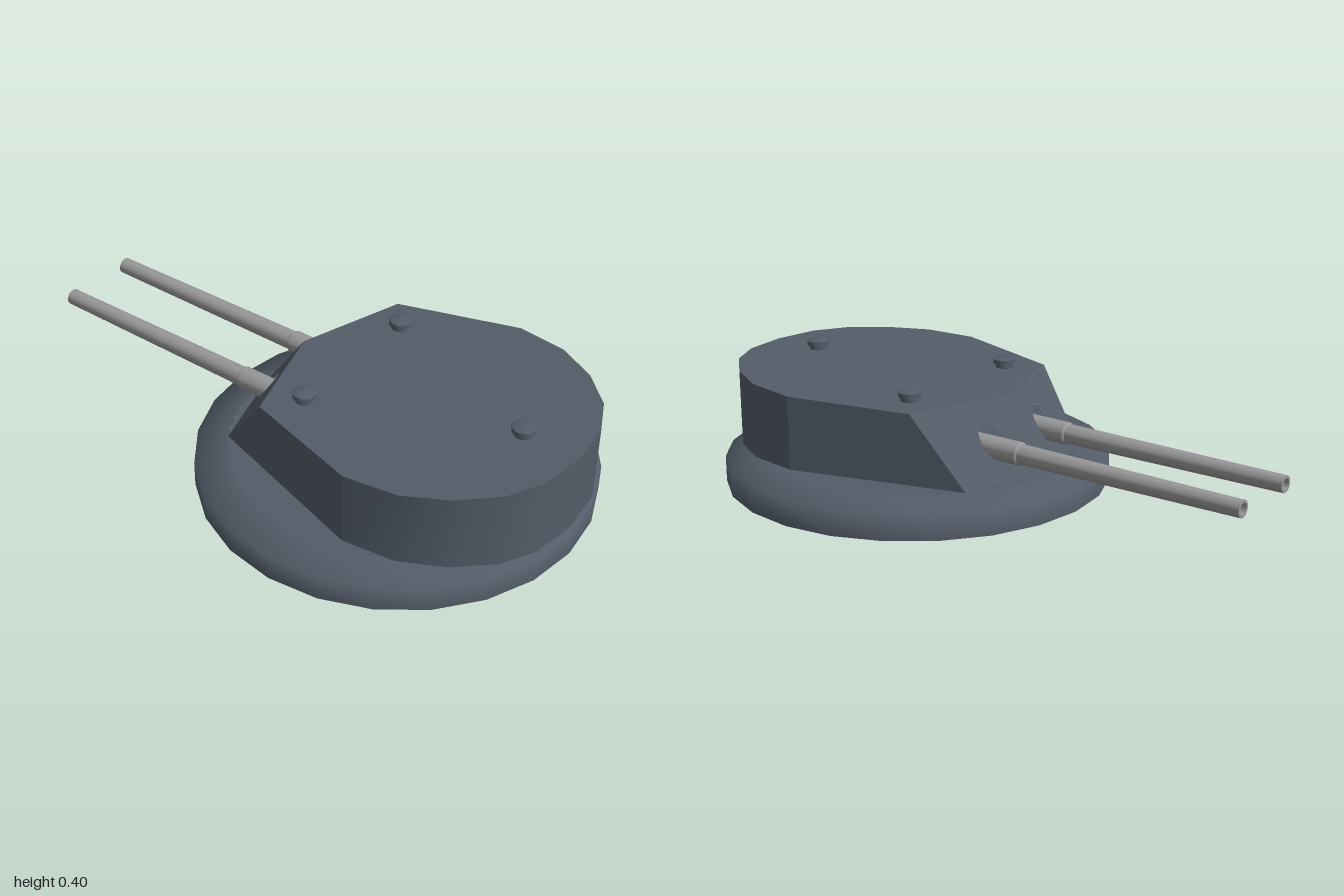
import * as THREE from 'three';
import { toCreasedNormals } from 'three/addons/utils/BufferGeometryUtils.js';

const roofY = (z) => 0.345 + (z + 0.05) * 0.029;
const plateZ = (x, y) => -0.215 + 0.7 * (y - 0.11) + 0.31 * Math.abs(x);
const FLOOR = 0.11;
const LOW = [0.314, FLOOR]; // lower corner of the front plate (x, y)
const HIGH = [0.366, 0.348]; // upper corner of the front plate (x, y)

export function createModel() {
  const model = new THREE.Group();
  const armour = new THREE.MeshStandardMaterial({ color: 0x535c68 });
  armour.name = 'armourGrey';
  const armourOpen = new THREE.MeshStandardMaterial({ color: 0x535c68, side: THREE.DoubleSide });
  armourOpen.name = 'armourGreyOpen';
  const steel = new THREE.MeshStandardMaterial({ color: 0x98989a });
  steel.name = 'gunSteel';

  const add = (name, geometry, material, x = 0, y = 0, z = 0, parent = model) => {
    const mesh = new THREE.Mesh(geometry, material);
    mesh.name = name;
    mesh.position.set(x, y, z);
    parent.add(mesh);
    return mesh;
  };
  const lathe = (points, sides) =>
    new THREE.LatheGeometry(points.map(([r, y]) => new THREE.Vector2(r, y)), sides);

  // Round base ring, hollow underneath, with a flat deck
  add('baseRing', lathe([[0.66, 0], [0.66, 0.087], [0.55, 0.11]], 24), armourOpen, 0, 0, 0.335);
  add('baseDeck', new THREE.CircleGeometry(0.55, 24).rotateX(-Math.PI / 2), armourOpen, 0, 0.1095, 0.335);

  // Turret outline from the back round to the front tip, as (x, z) for floor and roof
  const arc = [[0, 0.99], [0.16, 0.97], [0.28, 0.91], [0.385, 0.8], [0.46, 0.66], [0.485, 0.48]];
  const half = (corner, tipY) => [...arc, [corner[0], plateZ(...corner)], [0, plateZ(0, tipY)]];
  const ring = (pts, height) => {
    const mirrored = pts.slice(1, -1).reverse().map(([x, z]) => [-x, z]);
    return [...pts, ...mirrored].map(([x, z]) => [x, height(z), z]);
  };
  const bottom = ring(half(LOW, FLOOR), () => FLOOR);
  const top = ring(half(HIGH, 0.345), roofY);

  // Turret walls, roof and floor; the two front edges are left to the gun plates
  const n = top.length;
  const tip = arc.length + 1;
  const tris = [];
  for (let i = 0; i < n; i++) {
    const j = (i + 1) % n;
    if (i !== tip - 1 && i !== tip) {
      tris.push(bottom[i], bottom[j], top[j], bottom[i], top[j], top[i]);
    }
    if (i > 0 && j > 0) {
      tris.push(top[0], top[i], top[j], bottom[0], bottom[j], bottom[i]);
    }
  }
  const hull = new THREE.BufferGeometry();
  hull.setAttribute('position', new THREE.Float32BufferAttribute(tris.flat(), 3));
  add('turretHull', toCreasedNormals(hull, 0.4), armour);

  // Sloped front plates with an oval gun port in each
  const frontPlate = (side) => {
    const shape = new THREE.Shape([
      new THREE.Vector2(0, FLOOR),
      new THREE.Vector2(side * LOW[0], LOW[1]),
      new THREE.Vector2(side * HIGH[0], HIGH[1]),
      new THREE.Vector2(0, 0.345),
    ]);
    const port = new THREE.Path();
    port.absellipse(side * 0.134, 0.225, 0.043, 0.057, 0, Math.PI * 2, true);
    shape.holes.push(port);
    const geometry = new THREE.ShapeGeometry(shape, 10);
    const p = geometry.attributes.position;
    for (let i = 0; i < p.count; i++) p.setZ(i, plateZ(p.getX(i), p.getY(i)));
    geometry.setIndex(Array.from(geometry.index.array).reverse()); // face outwards to -z
    geometry.computeVertexNormals();
    return geometry;
  };

  // Gun: breech sleeve, tapering barrel and hollow muzzle
  const gun = toCreasedNormals(lathe([
    [0, 0], [0.038, 0], [0.038, 0.2], [0.033, 0.205], [0.028, 1],
    [0.019, 1], [0.019, 0.9], [0, 0.9],
  ], 18), 0.6);

  for (const side of [1, -1]) {
    const label = side > 0 ? 'left' : 'right';
    add(`${label}FrontPlate`, frontPlate(side), armour);
    const barrel = add(`${label}Gun`, gun, steel, side * 0.133, 0.209, 0);
    barrel.rotation.x = -(Math.PI / 2 + 0.007);
  }

  // Roof periscopes: narrow neck under a wider cap
  const periscope = toCreasedNormals(lathe([
    [0.03, -0.006], [0.03, 0.014], [0.038, 0.014], [0.038, 0.03], [0.03, 0.034], [0, 0.035],
  ], 16), 0.6);
  for (const [name, x, z] of [
    ['rearPeriscope', 0, 0.795],
    ['leftPeriscope', 0.255, 0.155],
    ['rightPeriscope', -0.255, 0.155],
  ]) {
    add(name, periscope, armour, x, roofY(z), z);
  }

  return model;
}
